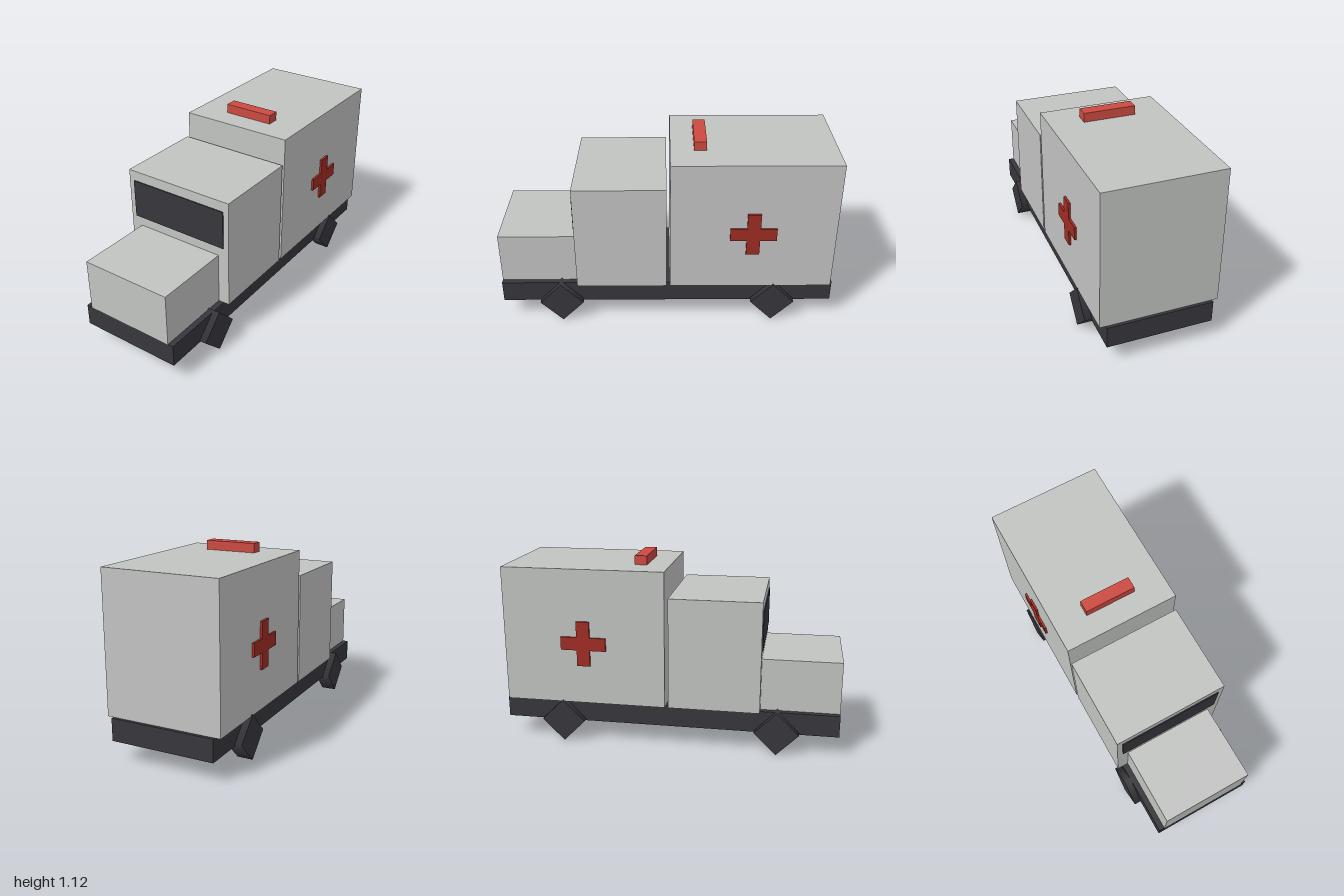
import * as THREE from 'three';

const material = (name, color) => {
  const m = new THREE.MeshStandardMaterial({ color });
  m.name = name;
  return m;
};

export function createModel() {
  const body = material('body grey', 0xc2c4c2);
  const dark = material('dark charcoal', 0x37363c);
  const beacon = material('beacon red', 0xcc4a41);
  const crossRed = material('cross red', 0xa02c24);

  const group = new THREE.Group();
  group.name = 'ambulance';

  const add = (name, geometry, mat) => {
    const mesh = new THREE.Mesh(geometry, mat);
    mesh.name = name;
    group.add(mesh);
    return mesh;
  };

  // Box centred on x, given its half width and its y and z ranges
  const block = (name, mat, halfWidth, y0, y1, z0, z1) =>
    add(name, new THREE.BoxGeometry(2 * halfWidth, y1 - y0, z1 - z0), mat)
      .position.set(0, (y0 + y1) / 2, (z0 + z1) / 2);

  block('chassis', dark, 0.31, 0.121, 0.251, -1, 1);
  block('hood', body, 0.276, 0.251, 0.561, 0.54, 1);
  block('cab', body, 0.345, 0.251, 0.91, 0.003, 0.54);
  block('rearCompartment', body, 0.345, 0.251, 1.062, -0.983, -0.018);
  block('windshield', dark, 0.311, 0.619, 0.85, 0.539, 0.546);
  block('beacon', beacon, 0.153, 1.062, 1.116, -0.228, -0.155);

  // Cross outline, repeated quarter by quarter
  const arm = 0.135, half = 0.039;
  const points = [];
  for (let i = 0; i < 4; i++) {
    for (const [x, y] of [[arm, -half], [arm, half], [half, half]]) {
      points.push(new THREE.Vector2(x, y).rotateAround(new THREE.Vector2(), i * Math.PI / 2));
    }
  }
  const crossGeometry = new THREE.ExtrudeGeometry(new THREE.Shape(points), { depth: 0.015, bevelEnabled: false });

  // Four-sided wheels standing on a corner
  const wheelGeometry = new THREE.CylinderGeometry(0.131, 0.131, 0.091, 4).rotateZ(Math.PI / 2);

  for (const side of [1, -1]) {
    const label = side > 0 ? 'left' : 'right';
    const cross = add(label + 'Cross', crossGeometry, crossRed);
    cross.position.set(side * 0.343, 0.62, -0.5);
    cross.rotation.y = side * Math.PI / 2;
    for (const z of [0.64, -0.64]) {
      add(label + (z > 0 ? 'FrontWheel' : 'RearWheel'), wheelGeometry, dark)
        .position.set(side * 0.306, 0.131, z);
    }
  }
  return group;
}
